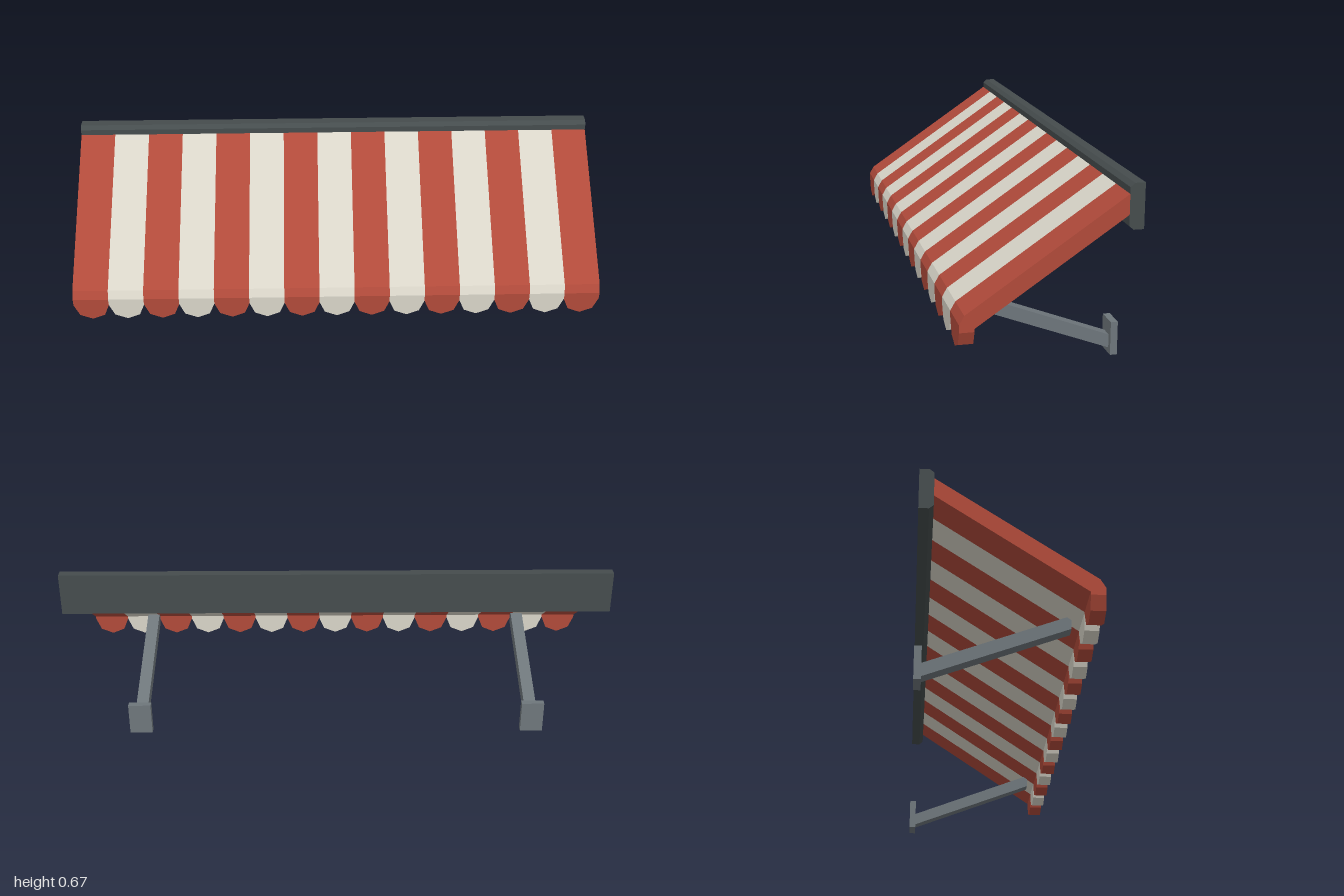
import * as THREE from 'three';

const paint = (name, color) => {
  const m = new THREE.MeshStandardMaterial({ color });
  m.name = name;
  return m;
};

// Extrudes a side profile of [z, y] points along x, centred on x = cx
function sideExtrude(points, width, cx) {
  const shape = new THREE.Shape(points.map(([z, y]) => new THREE.Vector2(-z, y)));
  const geo = new THREE.ExtrudeGeometry(shape, { depth: width, bevelEnabled: false });
  return geo.rotateY(Math.PI / 2).translate(cx - width / 2, 0, 0);
}

export function createModel() {
  const red = paint('brick red fabric', 0xb04a3a);
  const cream = paint('cream fabric', 0xd8d4c8);
  const dark = paint('charcoal housing', 0x454c4d);
  const steel = paint('grey steel', 0x6e767b);

  const model = new THREE.Group();
  model.name = 'awning';
  const add = (parent, name, geo, mat) => {
    const mesh = new THREE.Mesh(geo, mat);
    mesh.name = name;
    parent.add(mesh);
  };

  // Wall housing with chamfered front edges
  add(model, 'wallHousing', sideExtrude([
    [-0.3, 0.512], [-0.265, 0.512], [-0.25, 0.525],
    [-0.25, 0.652], [-0.265, 0.665], [-0.3, 0.665],
  ], 2, 0), dark);

  // Striped canopy: sloped panel, rounded nose and short front drop
  const count = 15, width = 2 / count, radius = width / 2, hem = 0.2133;
  const slope = [
    [-0.25, 0.63], [-0.25, 0.562], [0.25, 0.224], [0.25, hem],
    [0.3, hem], [0.3, 0.24], [0.283, 0.27],
  ];
  // Scallop: half of an octagon hanging below the hem
  const scallop = new THREE.Shape();
  for (let k = 0; k <= 4; k++) {
    const a = Math.PI + k * Math.PI / 4;
    scallop[k ? 'lineTo' : 'moveTo'](radius * Math.cos(a), radius * Math.sin(a));
  }
  const canopy = new THREE.Group();
  canopy.name = 'canopy';
  model.add(canopy);
  for (let i = 0; i < count; i++) {
    const x = -1 + (i + 0.5) * width;
    const mat = i % 2 ? cream : red;
    add(canopy, 'stripe', sideExtrude(slope, width, x), mat);
    const geo = new THREE.ExtrudeGeometry(scallop, { depth: 0.05, bevelEnabled: false });
    add(canopy, 'scallop', geo.translate(x, hem, 0.25), mat);
  }

  // Support arms with their wall plates
  for (const side of [-1, 1]) {
    const support = new THREE.Group();
    support.name = side > 0 ? 'leftSupport' : 'rightSupport';
    model.add(support);
    add(support, 'arm', sideExtrude([
      [-0.28, 0.018], [0.22, 0.211], [0.22, 0.26], [-0.28, 0.066],
    ], 0.046, side * 0.75), steel);
    const plate = new THREE.BoxGeometry(0.085, 0.12, 0.025);
    add(support, 'wallPlate', plate.translate(side * 0.75, 0.06, -0.2875), steel);
  }
  return model;
}
